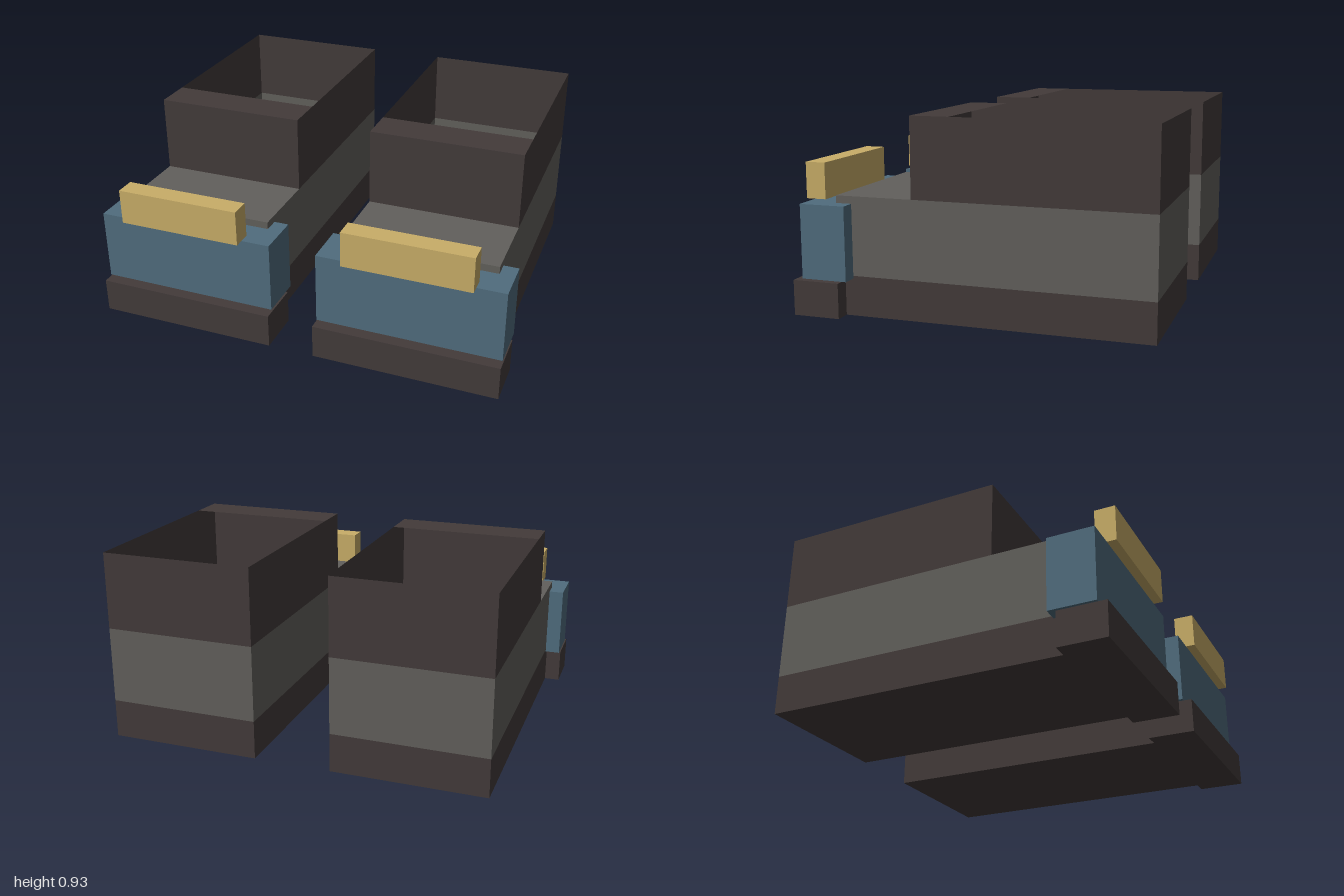
import * as THREE from 'three';

const material = (name, color, side = THREE.FrontSide) => {
  const m = new THREE.MeshStandardMaterial({ color, side });
  m.name = name;
  return m;
};

export function createModel() {
  const dark = material('dark brown', 0x433b3a, THREE.DoubleSide);
  const grey = material('warm grey', 0x62605c, THREE.DoubleSide);
  const blue = material('slate blue', 0x506d7e);
  const gold = material('sand gold', 0xc9ae68);

  // Solid block from its x, y and z ranges
  const block = (name, mat, [x0, x1], [y0, y1], [z0, z1]) => {
    const mesh = new THREE.Mesh(new THREE.BoxGeometry(x1 - x0, y1 - y0, z1 - z0), mat);
    mesh.position.set((x0 + x1) / 2, (y0 + y1) / 2, (z0 + z1) / 2);
    mesh.name = name;
    return mesh;
  };

  // Hollow part: four thin walls and a lid covering only the front of the top
  const shell = (name, mat, w, [y0, y1], [z0, z1], lidStart) => {
    const g = new THREE.Group();
    g.name = name;
    const panel = (part, pw, ph, pos, rx, ry) => {
      const mesh = new THREE.Mesh(new THREE.PlaneGeometry(pw, ph), mat);
      mesh.position.set(...pos);
      mesh.rotation.set(rx, ry, 0);
      mesh.name = name + part;
      g.add(mesh);
    };
    const h = y1 - y0, d = z1 - z0, y = (y0 + y1) / 2, z = (z0 + z1) / 2;
    panel('Front', w, h, [0, y, z1], 0, 0);
    panel('Back', w, h, [0, y, z0], 0, Math.PI);
    for (const s of [-1, 1]) panel(s > 0 ? 'LeftSide' : 'RightSide', d, h, [s * w / 2, y, z], 0, s * Math.PI / 2);
    panel('Lid', w, z1 - lidStart, [0, y1, (lidStart + z1) / 2], -Math.PI / 2, 0);
    return g;
  };

  const model = new THREE.Group();
  model.name = 'pairOfBoots';
  for (const s of [-1, 1]) {
    const boot = new THREE.Group();
    boot.name = s > 0 ? 'leftBoot' : 'rightBoot';
    boot.position.x = s * 0.556;
    const half = 0.369;
    boot.add(
      block('sole', dark, [-half, half], [0, 0.187], [-0.835, 0.645]),
      shell('foot', grey, half * 2, [0.187, 0.556], [-0.835, 0.645], 0.275),
      shell('shaft', dark, half * 2, [0.556, 0.928], [-0.835, 0.275], 0.09),
      block('toeSole', dark, [-0.444, 0.444], [0, 0.165], [0.61, 0.836]),
      block('toeCap', blue, [-0.441, 0.441], [0.175, 0.521], [0.57, 0.79]),
      block('toeTrim', gold, [-0.303, 0.303], [0.521, 0.692], [0.737, 0.834]),
    );
    model.add(boot);
  }
  return model;
}
